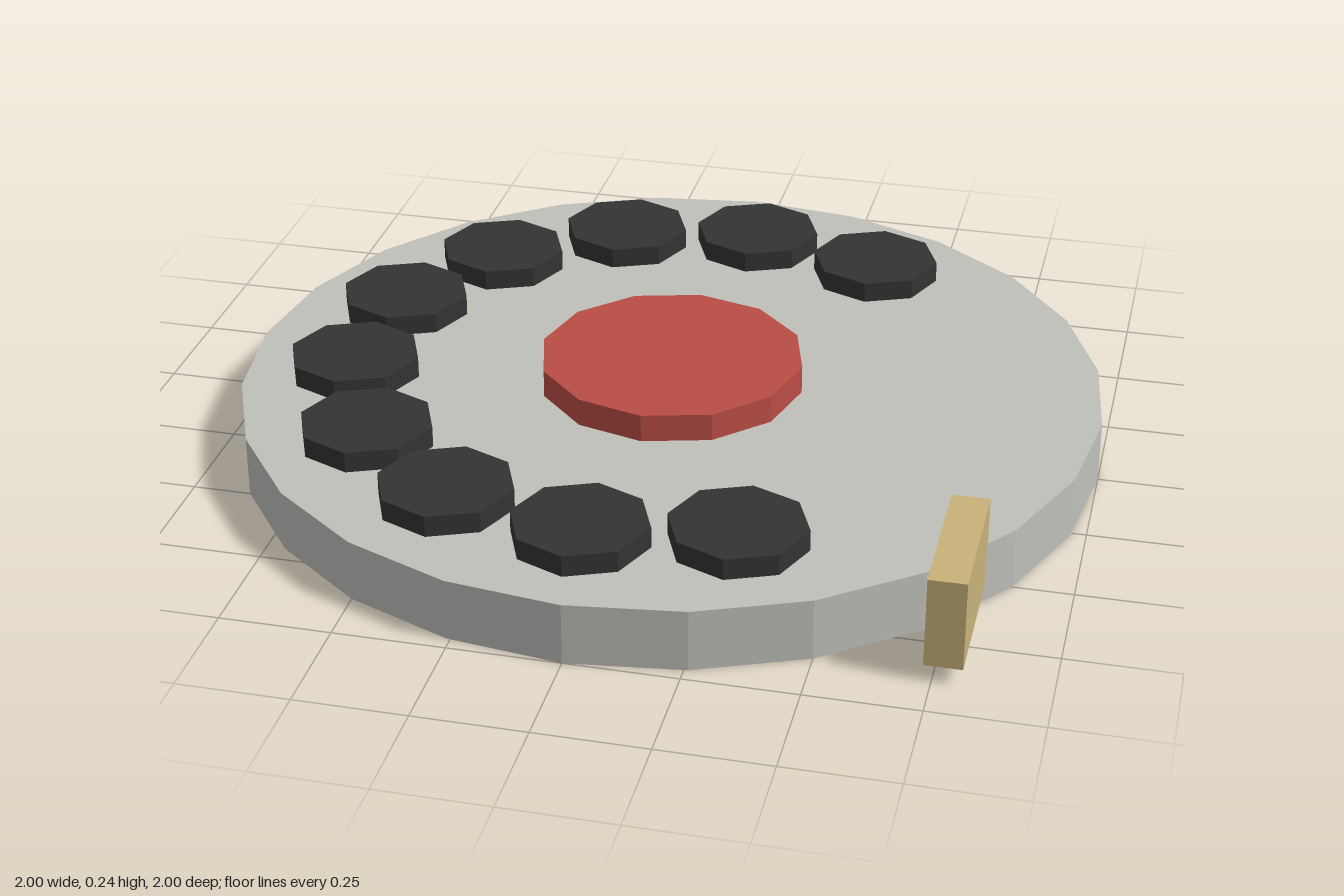
import * as THREE from 'three';

const mat = (name, color) => {
  const m = new THREE.MeshStandardMaterial({ color, flatShading: true });
  m.name = name;
  return m;
};

export function createModel() {
  const group = new THREE.Group();
  group.name = 'rotaryDial';
  const grey = mat('plateGrey', 0xc0c0bb);
  const black = mat('holeBlack', 0x333333);
  const red = mat('hubRed', 0xba4d45);
  const brass = mat('stopBrass', 0xc9b27a);

  const add = (name, geometry, material, x, y, z) => {
    const mesh = new THREE.Mesh(geometry, material);
    mesh.name = name;
    mesh.position.set(x, y, z);
    group.add(mesh);
  };
  // Upright prism spanning y0..y1
  const prism = (name, r, y0, y1, sides, material, x = 0, z = 0) =>
    add(name, new THREE.CylinderGeometry(r, r, y1 - y0, sides), material, x, (y0 + y1) / 2, z);

  // Base plate and raised centre
  prism('dialPlate', 1, 0, 0.142, 24, grey);
  prism('centreHub', 0.308, 0.1, 0.207, 12, red);

  // Ten finger pads on an arc, all facing the same way
  for (let i = 0; i < 10; i++) {
    const a = THREE.MathUtils.degToRad(60 + 26 * i);
    prism('fingerPad' + (i + 1), 0.154, 0.12, 0.191, 8, black, 0.742 * Math.cos(a), -0.742 * Math.sin(a));
  }

  // Finger stop at the rim
  add('fingerStop', new THREE.BoxGeometry(0.082, 0.205, 0.342), brass, 0.773, 0.14, 0.722);
  return group;
}
